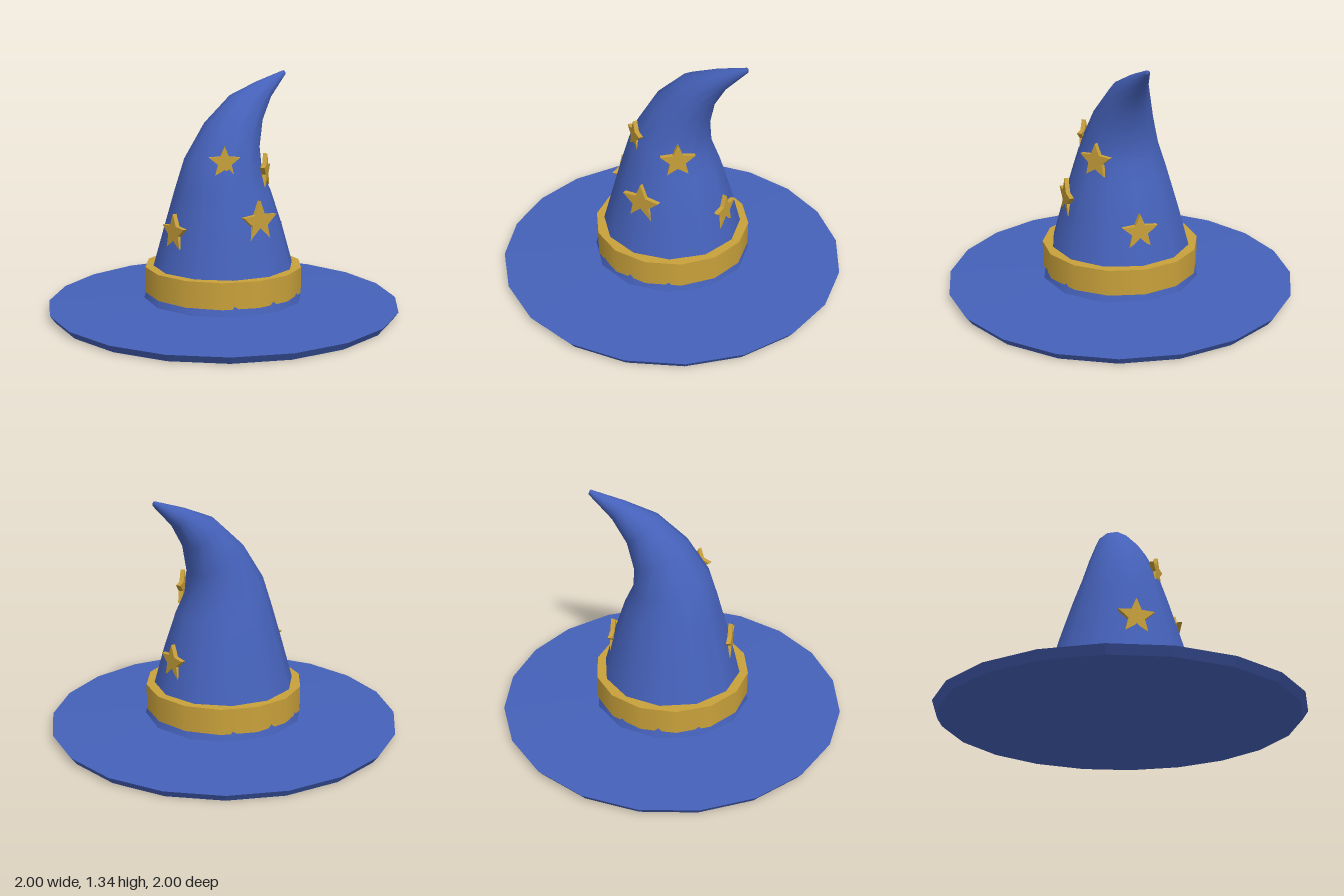
import * as THREE from 'three';
import { mergeVertices } from 'three/addons/utils/BufferGeometryUtils.js';

const feltMaterial = (flatShading) => {
  const m = new THREE.MeshStandardMaterial({ color: 0x4561b9 });
  m.name = 'blueFelt';
  m.flatShading = flatShading;
  return m;
};

// Bent cone: each ring is [centre x, centre y, radius, tilt], tip first
function crownGeometry() {
  const rings = [
    [0.452, 1.334, 0, 1.15],
    [0.45, 1.332, 0.014, 1.15],
    [0.295, 1.24, 0.061, 0.96],
    [0.165, 1.14, 0.117, 0.75],
    [0.062, 0.99, 0.172, 0.48],
    [0, 0.825, 0.225, 0.2],
    [-0.003, 0.68, 0.275, 0.03],
    [0, 0.47, 0.34, 0],
    [0, 0.25, 0.402, 0],
    [0, 0.05, 0.461, 0],
  ];
  const sides = 12;
  let geo = new THREE.CylinderGeometry(1, 1, 1, sides, rings.length - 1, true);
  const pos = geo.attributes.position;
  for (let i = 0; i < pos.count; i++) {
    const [cx, cy, r, tilt] = rings[Math.floor(i / (sides + 1))];
    const x = pos.getX(i) * r;
    pos.setXYZ(i, cx + x * Math.cos(tilt), cy - x * Math.sin(tilt), pos.getZ(i) * r);
  }
  geo.deleteAttribute('normal');
  geo.deleteAttribute('uv');
  geo = mergeVertices(geo, 1e-4);
  geo.computeVertexNormals();
  return geo;
}

// Upright five-pointed plate centred on its own origin
function starGeometry(radius, depth = 0.025) {
  const shape = new THREE.Shape();
  for (let i = 0; i < 10; i++) {
    const r = i % 2 ? radius * 0.45 : radius;
    const a = Math.PI / 2 + (i * Math.PI) / 5;
    shape[i ? 'lineTo' : 'moveTo'](r * Math.cos(a), r * Math.sin(a));
  }
  shape.closePath();
  return new THREE.ExtrudeGeometry(shape, { depth, bevelEnabled: false }).translate(0, 0, -depth / 2);
}

export function createModel() {
  const group = new THREE.Group();
  group.name = 'pointedHat';
  const gold = new THREE.MeshStandardMaterial({ color: 0xc9a13b });
  gold.name = 'gold';
  const add = (name, geo, mat) => {
    const mesh = new THREE.Mesh(geo, mat);
    mesh.name = name;
    group.add(mesh);
    return mesh;
  };

  // Wide faceted brim, rising slightly to the crown
  const brim = [[0, 0], [0.97, 0], [1, 0.042], [0.45, 0.068], [0, 0.07]]
    .map(([x, y]) => new THREE.Vector2(x, y));
  add('brim', new THREE.LatheGeometry(brim, 20), feltMaterial(true));

  add('crown', crownGeometry(), feltMaterial(false));

  // Band around the foot of the crown
  const band = new THREE.CylinderGeometry(0.45, 0.45, 0.147, 14, 1, false, Math.PI / 2);
  add('band', band, gold).position.y = 0.1805;

  // Stars: name, x, y, z, turn about y, radius
  const stars = [
    ['frontStar', 0, 0.54, 0.315, 0, 0.12],
    ['leftStar', 0.347, 0.435, 0, Math.PI / 2, 0.103],
    ['rightStar', -0.338, 0.475, 0, -Math.PI / 2, 0.105],
    ['upperRightStar', -0.128, 0.865, 0.175, -0.6, 0.088],
    ['upperLeftStar', 0.152, 0.795, 0.185, 0.69, 0.1],
  ];
  for (const [name, x, y, z, turn, radius] of stars) {
    const star = add(name, starGeometry(radius), gold);
    star.position.set(x, y, z);
    star.rotation.y = turn;
  }
  return group;
}
